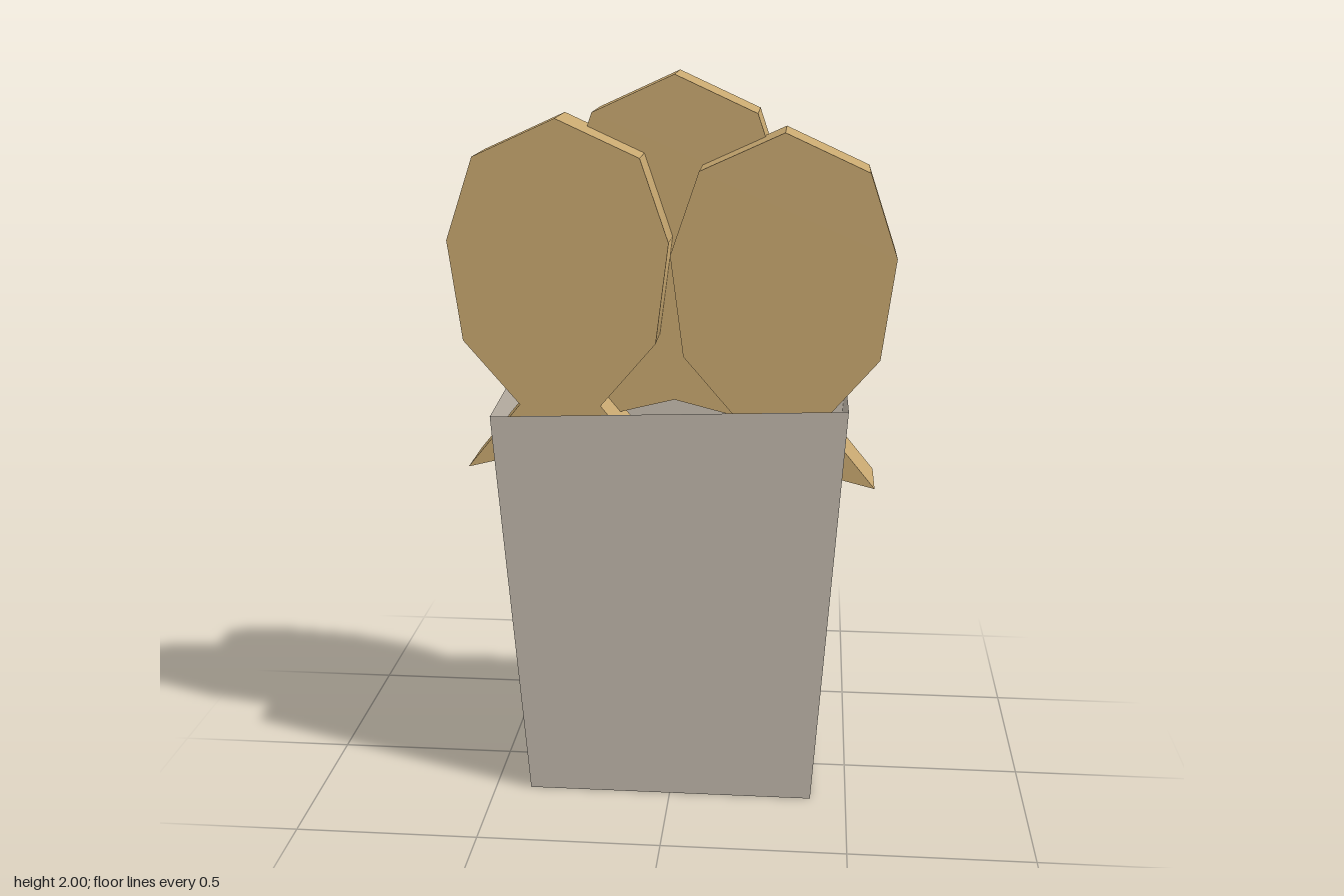
import * as THREE from 'three';
import { toCreasedNormals } from 'three/addons/utils/BufferGeometryUtils.js';

function material(name, color, side = THREE.FrontSide) {
  const m = new THREE.MeshStandardMaterial({ color, side });
  m.name = name;
  return m;
}

function mesh(name, geometry, mat, parent) {
  const m = new THREE.Mesh(geometry, mat);
  m.name = name;
  parent.add(m);
  return m;
}

// Thin rod between two points
function rod(name, a, b, radius, mat, parent) {
  const dir = b.clone().sub(a);
  const geo = new THREE.CylinderGeometry(radius, radius, dir.length(), 6).toNonIndexed();
  geo.computeVertexNormals();
  const m = mesh(name, geo, mat, parent);
  m.position.copy(a).add(b).multiplyScalar(0.5);
  m.quaternion.setFromUnitVectors(new THREE.Vector3(0, 1, 0), dir.normalize());
  return m;
}

// Open tapered bag with an uneven rim
function bagGeometry() {
  const bottom = [[-0.4, 0, 0.21], [0.4, 0, 0.21], [0.4, 0, -0.19], [-0.4, 0, -0.19]];
  const top = [[-0.475, 1.12, 0.26], [0.475, 1.155, 0.26], [0.475, 1.115, -0.243], [-0.475, 1.155, -0.243]];
  const pos = [];
  const quad = (a, b, c, d) => pos.push(...a, ...b, ...c, ...a, ...c, ...d);
  for (let i = 0; i < 4; i++) {
    const j = (i + 1) % 4;
    quad(bottom[i], bottom[j], top[j], top[i]);
  }
  quad(bottom[3], bottom[2], bottom[1], bottom[0]);
  const g = new THREE.BufferGeometry();
  g.setAttribute('position', new THREE.Float32BufferAttribute(pos, 3));
  g.computeVertexNormals();
  return g;
}

// Fish outline measured down from the nose; the front of the slab is at z = 0.183
const THICK = 0.183;
function fishGeometry() {
  const half = [[0.22, -0.1], [0.295, -0.32], [0.26, -0.59], [0.11, -0.765], [0.257, -0.945]];
  const left = half.map(([x, y]) => new THREE.Vector2(x, y));
  const right = half.map(([x, y]) => new THREE.Vector2(-x, y)).reverse();
  const shape = new THREE.Shape([new THREE.Vector2(0, 0), ...left, new THREE.Vector2(0, -0.88), ...right]);
  const g = new THREE.ExtrudeGeometry(shape, { depth: THICK, bevelEnabled: false });
  return toCreasedNormals(g, 0.7);
}

export function createModel() {
  const model = new THREE.Group();
  model.name = 'bagOfFishCrackers';
  const paper = material('paperGrey', 0xc4bbae, THREE.DoubleSide);
  const fold = material('foldGrey', 0xbab5a8);
  const cracker = material('crackerTan', 0xc8a870);
  const mark = material('markBrown', 0x6f5d4e);

  mesh('bag', bagGeometry(), paper, model);

  // Rolled fold along the back rim
  const rollGeo = new THREE.CylinderGeometry(0.026, 0.026, 0.94, 8).toNonIndexed();
  rollGeo.rotateY(Math.PI / 8).rotateZ(Math.PI / 2).scale(1, 1, 0.56);
  rollGeo.computeVertexNormals();
  mesh('rimFold', rollGeo, fold, model).position.set(0, 1.135, -0.247);

  // Three fish standing nose up, with eye and gill marks on the back side
  const fishGeo = fishGeometry();
  const eyeGeo = new THREE.SphereGeometry(0.027, 6, 5).scale(1, 1, 0.6);
  const places = [
    ['centreFish', 0, 2.0, -0.138],
    ['rightFish', -0.3, 1.895, -0.016],
    ['leftFish', 0.295, 1.865, -0.002],
  ];
  for (const [name, x, y, z] of places) {
    const fish = new THREE.Group();
    fish.name = name;
    fish.position.set(x, y, z);
    mesh('body', fishGeo, cracker, fish);
    mesh('eye', eyeGeo, mark, fish).position.set(-0.1, -0.21, -0.006);
    for (const h of [-0.4, -0.56]) {
      const mid = new THREE.Vector3(0.012, h - 0.06, -0.014);
      rod('gillMark', new THREE.Vector3(0.112, h, -0.005), mid, 0.007, mark, fish);
      rod('gillMark', new THREE.Vector3(-0.108, h - 0.03, -0.005), mid, 0.007, mark, fish);
    }
    model.add(fish);
  }
  return model;
}
